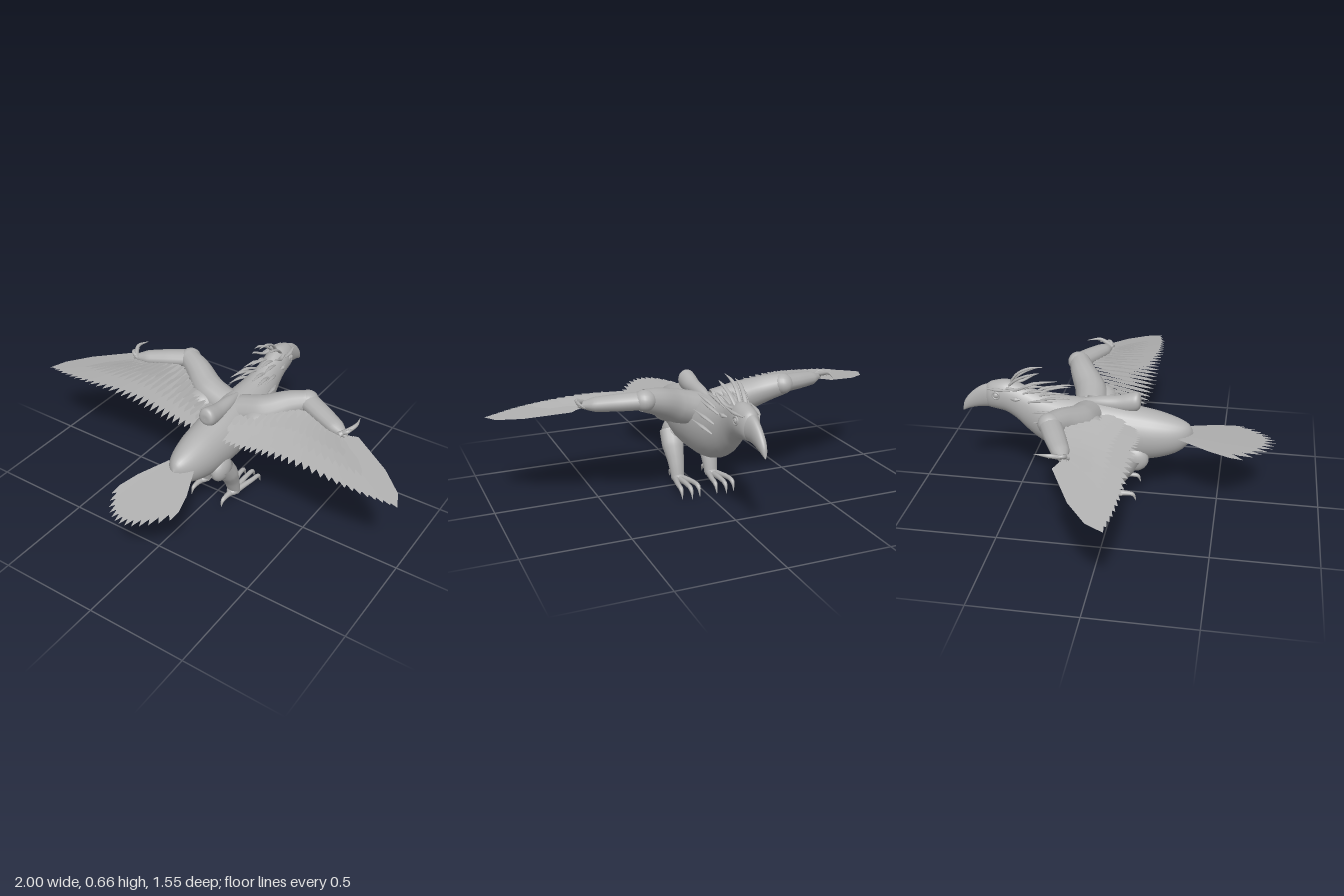
import * as THREE from 'three';

const V = (x, y, z) => new THREE.Vector3(x, y, z);
const UP = V(0, 1, 0);
const plumage = new THREE.MeshStandardMaterial({ color: 0xb0b0b0, side: THREE.DoubleSide });
plumage.name = 'plumage grey';

function mesh(parent, name, geometry) {
  const m = new THREE.Mesh(geometry, plumage);
  m.name = name;
  parent.add(m);
  return m;
}

function build(pos, idx) {
  const g = new THREE.BufferGeometry();
  g.setAttribute('position', new THREE.Float32BufferAttribute(pos, 3));
  g.setIndex(idx);
  g.computeVertexNormals();
  return g;
}

// Smooth skin over elliptical rings {c, u, v}, running along u x v.
function loft(rings, n = 20) {
  const pos = [], idx = [];
  rings.forEach(({ c, u, v }) => {
    for (let j = 0; j < n; j++) {
      const a = j / n * Math.PI * 2;
      pos.push(...c.clone().addScaledVector(u, Math.cos(a)).addScaledVector(v, Math.sin(a)).toArray());
    }
  });
  for (let i = 0; i < rings.length - 1; i++) for (let j = 0; j < n; j++) {
    const a = i * n + j, b = i * n + (j + 1) % n;
    idx.push(a, b, a + n, b, b + n, a + n);
  }
  return build(pos, idx);
}

// Body-like loft from stations [z, top, bottom, halfWidth], z increasing.
function stationLoft(stations, steps) {
  const yz = new THREE.CatmullRomCurve3(stations.map(([z, t, b]) => V(z, t, b)));
  const w = new THREE.CatmullRomCurve3(stations.map(([z, , , r]) => V(z, r, 0)));
  const rings = [];
  for (let i = 0; i <= steps; i++) {
    const p = yz.getPoint(i / steps), r = w.getPoint(i / steps);
    rings.push({ c: V(0, (p.y + p.z) / 2, p.x), u: V(Math.max(r.y, 0.001), 0, 0), v: V(0, Math.max((p.y - p.z) / 2, 0.001), 0) });
  }
  return loft(rings, 28);
}

// Tapered limb along points; flat squashes it across its side.
function limb(points, radii, flat = 1, n = 14, steps = 20) {
  const curve = new THREE.CatmullRomCurve3(points, false, 'centripetal');
  const last = radii.length - 1, rings = [];
  for (let i = 0; i <= steps; i++) {
    const t = i / steps, k = Math.min(Math.floor(t * last), last - 1);
    const r = THREE.MathUtils.lerp(radii[k], radii[k + 1], t * last - k);
    const tan = curve.getTangent(t);
    const ref = Math.abs(points[last].y - points[0].y) > 0.15 ? V(0, 0, 1) : UP;
    const u = ref === UP && Math.abs(tan.y) > 0.95 ? V(1, 0, 0) : tan.clone().cross(ref).normalize();
    const v = tan.clone().cross(u).normalize();
    rings.push({ c: curve.getPoint(t), u: u.multiplyScalar(r), v: v.multiplyScalar(r * flat) });
  }
  return loft(rings, n);
}

// Thin pointed feather; roll lifts one edge.
function feather(root, tip, w, roll = 0, shoulder = 0.82) {
  const dir = tip.clone().sub(root);
  const side = dir.clone().cross(UP).normalize();
  side.y += roll;
  const pos = [];
  for (const [t, k] of [[0, 0.6], [0.5, 1], [shoulder, 0.75]]) {
    for (const e of [-1, 1]) pos.push(...root.clone().addScaledVector(dir, t).addScaledVector(side, e * k * w).toArray());
  }
  pos.push(...tip.toArray());
  return build(pos, [0, 1, 2, 1, 3, 2, 2, 3, 4, 3, 5, 4, 4, 5, 6]);
}

function ball(parent, name, p, s) {
  const m = mesh(parent, name, new THREE.SphereGeometry(1, 20, 14));
  m.position.copy(p);
  m.scale.copy(s);
  return m;
}

function addWing(root, s) {
  const wing = new THREE.Group();
  wing.name = s > 0 ? 'leftWing' : 'rightWing';
  root.add(wing);
  const P = (x, y, z) => V(s * x, y, z);

  // Arm
  mesh(wing, 'upperArm', limb([P(0.05, 0.445, -0.14), P(0.16, 0.475, -0.16), P(0.27, 0.525, -0.22), P(0.35, 0.55, -0.255)], [0.08, 0.08, 0.064, 0.052]));
  ball(wing, 'elbow', P(0.345, 0.55, -0.258), V(0.053, 0.05, 0.055));
  ball(wing, 'armMuscle', P(0.165, 0.445, -0.105), V(0.085, 0.06, 0.075));
  mesh(wing, 'forearm', limb([P(0.34, 0.55, -0.258), P(0.45, 0.54, -0.21), P(0.55, 0.53, -0.165), P(0.62, 0.525, -0.135)], [0.053, 0.05, 0.042, 0.012], 0.8));

  // Wrist claws
  mesh(wing, 'wristClaw', limb([P(0.59, 0.53, -0.12), P(0.62, 0.545, -0.16), P(0.635, 0.555, -0.2), P(0.622, 0.55, -0.265)], [0.014, 0.012, 0.009, 0.001], 1, 8));
  mesh(wing, 'wristClaw', limb([P(0.59, 0.53, -0.13), P(0.625, 0.55, -0.14), P(0.63, 0.54, -0.2)], [0.012, 0.009, 0.001], 1, 8));

  // Flight feathers and two rows of coverts
  const arm = new THREE.CatmullRomCurve3([P(0.1, 0.47, -0.08), P(0.25, 0.51, -0.16), P(0.38, 0.535, -0.19), P(0.5, 0.525, -0.16), P(0.59, 0.52, -0.14), P(0.64, 0.515, -0.15)]);
  const edge = new THREE.CatmullRomCurve3([P(0.09, 0.42, 0.11), P(0.22, 0.445, 0.14), P(0.36, 0.475, 0.15), P(0.52, 0.487, 0.15), P(0.7, 0.478, 0.145), P(0.86, 0.463, 0.13), P(1, 0.445, 0.1)]);
  const rows = [
    ['flightFeather', 27, 1, 1, 0, 0.12],
    ['longCovert', 20, 0.85, 0.72, 0.016, 0.3],
    ['shortCovert', 16, 0.75, 0.5, 0.022, 0.35],
  ];
  for (const [name, count, span, reach, lift, roll] of rows) {
    for (let i = 0; i < count; i++) {
      const t = i / (count - 1) * span, a = arm.getPoint(t);
      const b = a.clone().lerp(edge.getPoint(t), reach);
      b.y += lift;
      const w = reach === 1 ? THREE.MathUtils.lerp(0.024, 0.06, t * t) : 0.022;
      mesh(wing, name, feather(a, b, w, roll * s));
    }
  }
}

function addLeg(root, s) {
  const leg = new THREE.Group();
  leg.name = s > 0 ? 'leftLeg' : 'rightLeg';
  root.add(leg);
  const P = (x, y, z) => V(s * x, y, z);
  ball(leg, 'thigh', P(0.083, 0.25, 0.095), V(0.042, 0.066, 0.07));
  mesh(leg, 'shin', limb([P(0.085, 0.265, 0.09), P(0.09, 0.2, 0.05), P(0.09, 0.13, 0.015), P(0.09, 0.04, -0.015)], [0.058, 0.056, 0.042, 0.032], 0.85));
  ball(leg, 'ankle', P(0.09, 0.05, -0.01), V(0.032, 0.024, 0.045));
  // Three front toes and one rear toe, each ending in a claw
  for (const [dx, reach] of [[-0.045, 0.92], [0, 1], [0.045, 0.92]]) {
    const q = (k, y, z) => P(0.09 + dx * k, y, z * reach);
    mesh(leg, 'frontToe', limb([q(0.2, 0.045, 0), q(0.6, 0.052, -0.07), q(0.9, 0.056, -0.13), q(1, 0.05, -0.185), q(1, 0.006, -0.206)], [0.018, 0.014, 0.012, 0.011, 0.001], 1, 10));
  }
  mesh(leg, 'rearToe', limb([P(0.09, 0.045, 0), P(0.09, 0.05, 0.05), P(0.09, 0.045, 0.09), P(0.09, 0.012, 0.106)], [0.02, 0.013, 0.01, 0.001], 1, 10));
}

export function createModel() {
  const root = new THREE.Group();
  root.name = 'bird';

  // Body, neck and head in one skin
  mesh(root, 'body', stationLoft([
    [-0.67, 0.52, 0.46, 0.004], [-0.64, 0.565, 0.436, 0.04], [-0.6, 0.58, 0.43, 0.054], [-0.55, 0.587, 0.418, 0.06], [-0.5, 0.575, 0.385, 0.062],
    [-0.45, 0.555, 0.335, 0.067], [-0.38, 0.532, 0.28, 0.082], [-0.3, 0.52, 0.24, 0.098], [-0.2, 0.515, 0.214, 0.11],
    [-0.1, 0.51, 0.207, 0.116], [0, 0.5, 0.208, 0.118], [0.1, 0.485, 0.214, 0.112], [0.2, 0.467, 0.23, 0.1],
    [0.3, 0.437, 0.268, 0.07], [0.35, 0.41, 0.315, 0.036], [0.372, 0.37, 0.36, 0.002],
  ], 64));

  // Hooked beak
  mesh(root, 'beak', stationLoft([
    [-0.779, 0.415, 0.403, 0.002], [-0.772, 0.45, 0.405, 0.01], [-0.75, 0.486, 0.416, 0.018], [-0.71, 0.525, 0.428, 0.024],
    [-0.67, 0.55, 0.435, 0.03], [-0.62, 0.565, 0.437, 0.044],
  ], 24));

  // Rounded pod on the back
  mesh(root, 'backPod', stationLoft([
    [-0.19, 0.51, 0.48, 0.008], [-0.1, 0.53, 0.47, 0.03], [0, 0.542, 0.46, 0.038], [0.06, 0.56, 0.46, 0.043],
    [0.095, 0.566, 0.47, 0.042], [0.11, 0.545, 0.49, 0.03], [0.112, 0.52, 0.515, 0.002],
  ], 28));

  // Tail fan
  for (let i = -6; i <= 6; i++) {
    const a = i / 6;
    mesh(root, 'tailFeather', feather(V(a * 0.055, 0.37 - 0.006 * a * a, 0.31), V(a * 0.165, 0.345 - 0.01 * a * a, 0.77 - 0.15 * a * a), 0.03, 0.1));
  }

  // Crest on top of the head
  for (const [x, y, z] of [[0, 0.665, -0.36], [0.04, 0.645, -0.385], [-0.04, 0.645, -0.385], [0.065, 0.6, -0.4], [-0.065, 0.6, -0.4]]) {
    mesh(root, 'crestFeather', limb([V(x * 0.6, 0.56, -0.54), V(x * 0.8, y - 0.04, -0.49), V(x, y - 0.01, -0.43), V(x, y, z)], [0.01, 0.011, 0.009, 0.001], 0.6, 8));
  }

  for (const s of [1, -1]) {
    // Eye, brow and ear tuft
    ball(root, 'eye', V(s * 0.051, 0.522, -0.592), V(0.011, 0.014, 0.014));
    const lid = mesh(root, 'eyeRing', new THREE.TorusGeometry(0.018, 0.005, 8, 24));
    lid.position.set(s * 0.053, 0.522, -0.592);
    lid.rotation.y = Math.PI / 2 + s * 0.15;
    mesh(root, 'brow', limb([V(s * 0.038, 0.55, -0.64), V(s * 0.053, 0.552, -0.58), V(s * 0.062, 0.56, -0.5)], [0.005, 0.011, 0.002], 0.7, 8));
    mesh(root, 'earTuft', limb([V(s * 0.058, 0.515, -0.52), V(s * 0.067, 0.515, -0.49), V(s * 0.07, 0.52, -0.46)], [0.004, 0.011, 0.001], 1, 8));

    // Ruff of neck plumes
    for (const [x, y, z] of [[0.02, 0.575, -0.36], [0.05, 0.565, -0.34], [0.08, 0.53, -0.31], [0.1, 0.48, -0.29], [0.105, 0.43, -0.28], [0.03, 0.55, -0.27], [0.07, 0.545, -0.25]]) {
      mesh(root, 'neckPlume', limb([V(s * x * 0.72, y - 0.03, z - 0.12), V(s * x * 0.95, y - 0.01, z - 0.06), V(s * (x + 0.008), y, z + 0.03)], [0.007, 0.012, 0.001], 0.5, 8));
    }
    addWing(root, s);
    addLeg(root, s);
  }
  return root;
}
